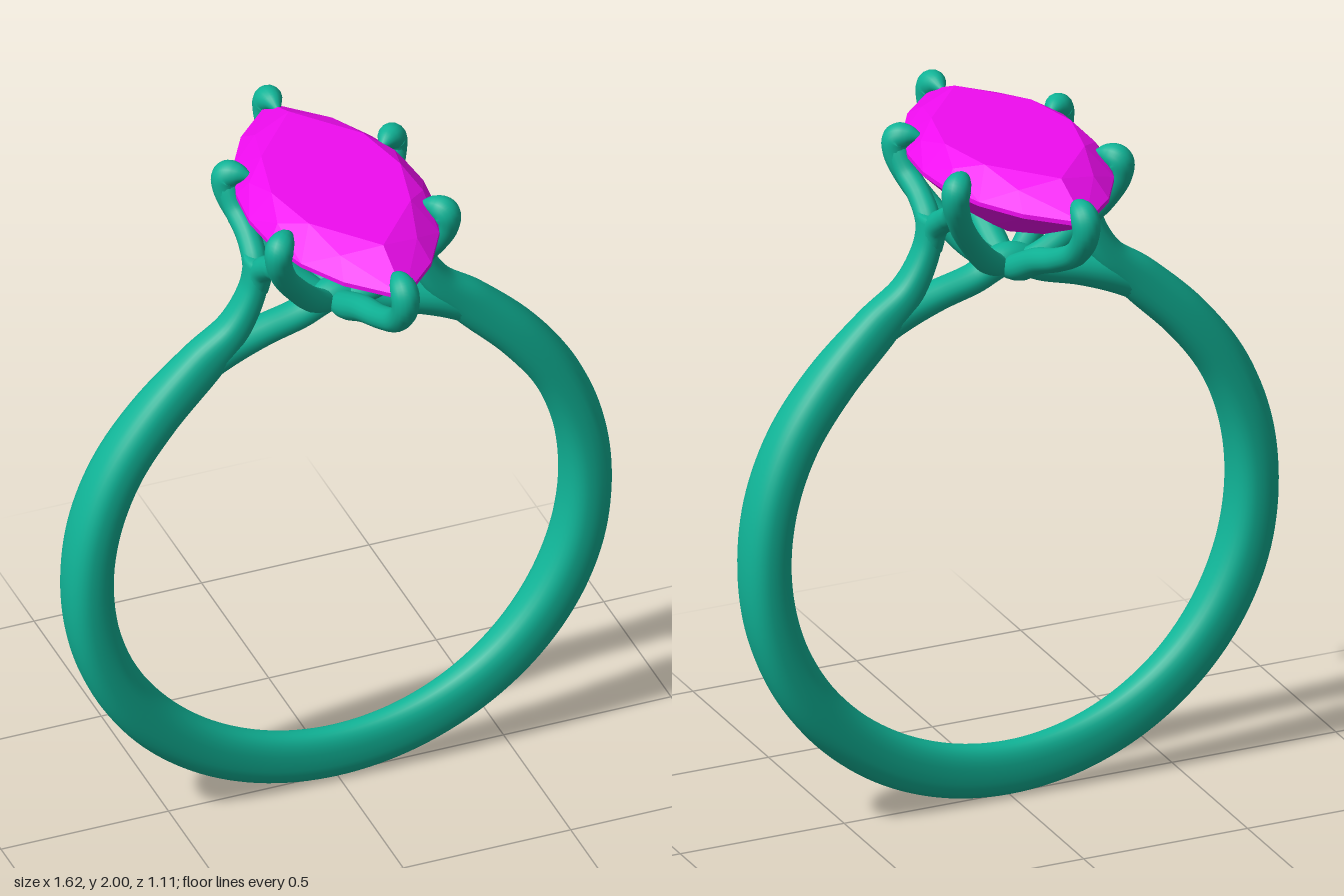
import * as THREE from 'three';
import { ConvexGeometry } from 'three/addons/geometries/ConvexGeometry.js';

const metal = new THREE.MeshStandardMaterial({ color: 0x10b497 });
const stone = new THREE.MeshStandardMaterial({ color: 0xf00cf0, flatShading: true });
const V = (x, y, z) => new THREE.Vector3(x, y, z);

// Sweep an oval section along a curve. Each row: [x, y, z, thickness, width];
// 'side' is the direction in which the width is measured.
function sweep(name, rows, side, steps = 48, sides = 16, square = 1) {
  const curve = new THREE.CatmullRomCurve3(rows.map(r => V(r[0], r[1], r[2])), false, 'centripetal');
  const size = new THREE.CatmullRomCurve3(rows.map((r, i) => V(r[3], r[4] ?? r[3], i)), false, 'catmullrom', 0.5);
  const pos = [], index = [];
  const bend = v => Math.sign(v) * Math.abs(v) ** square;
  for (let i = 0; i <= steps; i++) {
    const t = i / steps, p = curve.getPoint(t), s = size.getPoint(t);
    const dir = curve.getTangent(t);
    const b = side.clone().addScaledVector(dir, -side.dot(dir)).normalize();
    const n = b.clone().cross(dir);
    for (let j = 0; j < sides; j++) {
      const a = j / sides * Math.PI * 2;
      const q = p.clone().addScaledVector(n, bend(Math.cos(a)) * s.x).addScaledVector(b, bend(Math.sin(a)) * s.y);
      pos.push(q.x, q.y, q.z);
      if (i < steps) {
        const k = i * sides, j2 = (j + 1) % sides;
        index.push(k + j, k + j2, k + sides + j, k + j2, k + sides + j2, k + sides + j);
      }
    }
  }
  // end caps
  for (const [t, ring] of [[0, 0], [1, steps * sides]]) {
    const c = curve.getPoint(t), k = pos.length / 3;
    pos.push(c.x, c.y, c.z);
    for (let j = 0; j < sides; j++) {
      const j2 = (j + 1) % sides;
      index.push(k, ring + (t ? j : j2), ring + (t ? j2 : j));
    }
  }
  const g = new THREE.BufferGeometry();
  g.setAttribute('position', new THREE.Float32BufferAttribute(pos, 3));
  g.setIndex(index);
  g.computeVertexNormals();
  const mesh = new THREE.Mesh(g, metal);
  mesh.name = name;
  return mesh;
}

// Band: an open hoop whose two ends rise into the shoulders
function makeBand() {
  const end = [
    [0.235, 1.79, 0, 0.034, 0.042], [0.25, 1.69, 0, 0.036, 0.045],
    [0.305, 1.58, 0, 0.045, 0.05], [0.40, 1.485, 0, 0.064, 0.056],
  ];
  const rows = [...end];
  const N = 18;
  for (let i = 0; i <= N; i++) {
    const a = THREE.MathUtils.degToRad(43 - 266 * i / N), up = Math.sin(a);
    const width = up > 0 ? 0.085 - 0.034 * up ** 2 : 0.085 - 0.042 * up ** 2;
    const r = 0.743 + 0.014 * Math.max(0, -up);
    rows.push([Math.cos(a) * r, 0.835 + up * r, 0, 0.068 + 0.01 * Math.max(0, -up), width]);
  }
  rows.push(...end.map(([x, ...rest]) => [-x, ...rest]).reverse());
  return sweep('band', rows, V(0, 0, 1), 180, 28, 0.8);
}

// Marquise stone: table, girdle, pavilion
function makeStone() {
  const pts = [V(0, 1.70, 0)];
  const ring = (n, sx, sz, y, turn = 0) => {
    for (let i = 0; i < n; i++) {
      const u = ((i + turn) / n) * 4 - 2;                 // two arcs meeting at points
      const z = 0.51 * (Math.abs(u) - 1), R = 0.63;
      const x = Math.sign(u || 1) * Math.max(0, Math.sqrt(R * R - z * z) - R + 0.26);
      pts.push(V(x * sx, y, z * sz));
    }
  };
  ring(16, 1, 1, 1.915);
  ring(16, 1, 1, 1.928);
  ring(8, 0.88, 0.83, 1.972, 0.5);
  ring(8, 0.74, 0.69, 2.0);
  ring(8, 0.48, 0.46, 1.785);
  const mesh = new THREE.Mesh(new ConvexGeometry(pts), stone);
  mesh.name = 'stone';
  return mesh;
}

export function createModel() {
  const model = new THREE.Group();
  model.add(makeBand(), makeStone());

  // Lower bridge joining the shoulders under the stone
  const half = [
    [0.46, 1.43, 0, 0.045, 0.05], [0.34, 1.502, 0, 0.05, 0.05],
    [0.22, 1.545, 0, 0.044, 0.048], [0.11, 1.575, 0, 0.042, 0.048],
  ];
  model.add(sweep('bridge', [...half, [0, 1.62, 0, 0.045, 0.05],
    ...half.map(([x, ...r]) => [-x, ...r]).reverse()], V(0, 0, 1), 72, 20));

  // Long prongs holding the pointed ends
  for (const s of [1, -1]) {
    const rows = [
      [0, 1.59, 0, 0.03], [0, 1.625, 0.08, 0.04], [0, 1.69, 0.2, 0.038],
      [0, 1.75, 0.34, 0.034], [0, 1.82, 0.46, 0.035], [0, 1.895, 0.516, 0.038],
      [0, 1.94, 0.51, 0.04], [0, 1.957, 0.477, 0.031], [0, 1.952, 0.425, 0.004],
    ].map(([x, y, z, r]) => [x, y, z * s, r]);
    model.add(sweep('endProng', rows, V(1, 0, 0), 64));
  }

  // Four side prongs, each fed by a strut from the centre and an arm from the shoulder
  for (const sx of [1, -1]) for (const sz of [1, -1]) {
    const place = rows => rows.map(([x, y, z, r]) => [x * sx, y, z * sz, r]);
    const across = V(-sx, 0, sz);
    const prong = new THREE.Group();
    prong.name = 'sideProng';
    prong.add(sweep('claw', place([
      [0.02, 1.6, 0.01, 0.03], [0.09, 1.65, 0.055, 0.036], [0.165, 1.74, 0.11, 0.034],
      [0.222, 1.83, 0.165, 0.035], [0.25, 1.91, 0.197, 0.038],
      [0.247, 1.95, 0.197, 0.04], [0.225, 1.962, 0.175, 0.031], [0.19, 1.958, 0.143, 0.004],
    ]), across, 64));
    prong.add(sweep('arm', place([
      [0.24, 1.7, 0.005, 0.036], [0.232, 1.765, 0.025, 0.036],
      [0.228, 1.815, 0.09, 0.034], [0.235, 1.855, 0.155, 0.034], [0.25, 1.92, 0.195, 0.034],
    ]), V(1, 0, 0), 32));
    model.add(prong);
  }
  return model;
}
